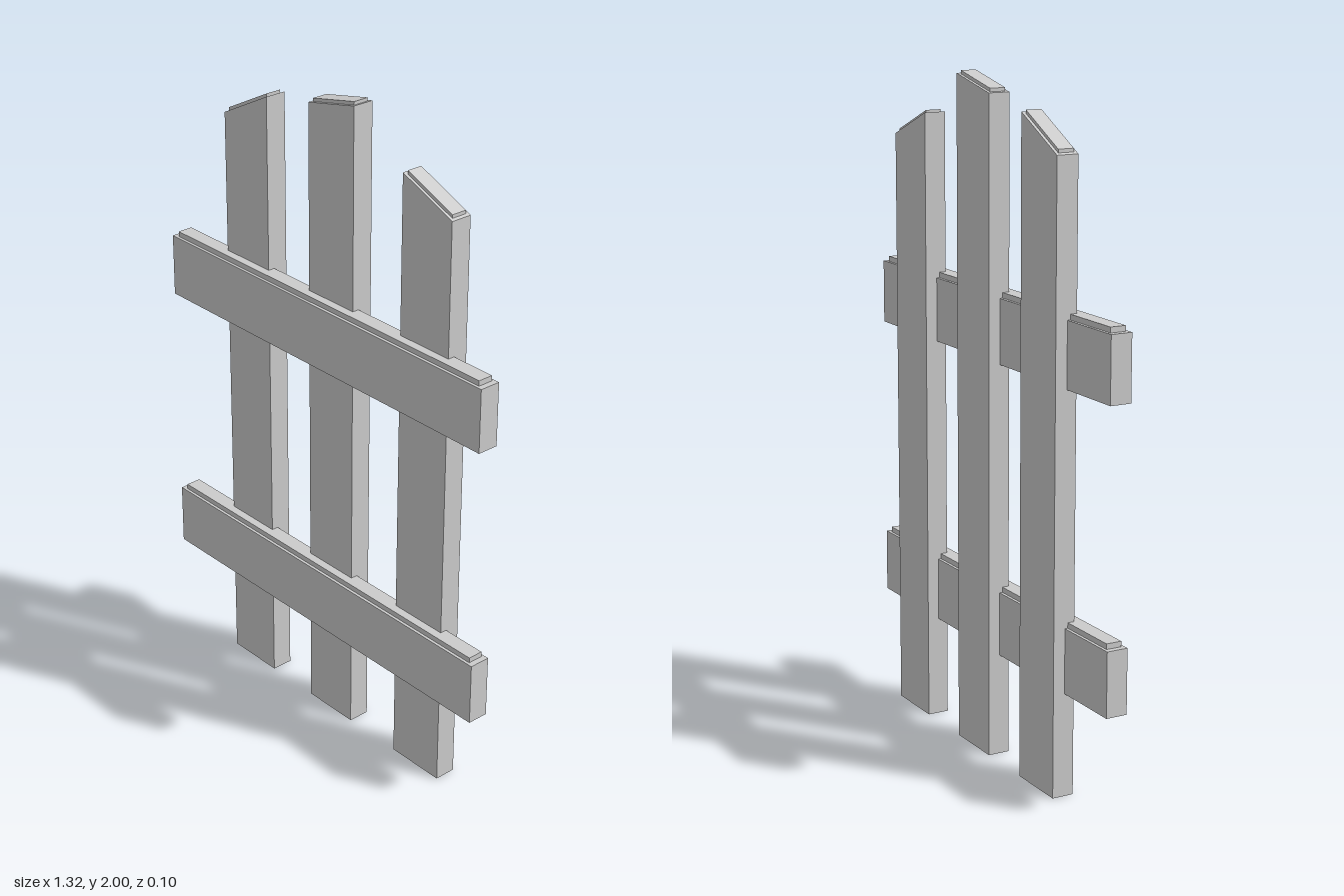
import * as THREE from 'three';

// Upright prism with vertical ends and a top edge sloping from yl to yr
function slab(name, x0, x1, yb0, yb1, yl, yr, z0, z1) {
  const shape = new THREE.Shape([
    new THREE.Vector2(x0, yb0), new THREE.Vector2(x1, yb1),
    new THREE.Vector2(x1, yr), new THREE.Vector2(x0, yl),
  ]);
  const geo = new THREE.ExtrudeGeometry(shape, { depth: z1 - z0, bevelEnabled: false });
  geo.translate(0, 0, z0);
  const mesh = new THREE.Mesh(geo, new THREE.MeshStandardMaterial({ color: 0xcccccc, flatShading: true }));
  mesh.name = name;
  return mesh;
}

// Board with a thin inset step along its top
function board(name, { x0, x1, bottom, yl, yr, z0, z1, inset, insetZ, step }) {
  const group = new THREE.Group();
  group.name = name;
  const slope = (yr - yl) / (x1 - x0);
  const a = yl + slope * inset, b = yr - slope * inset;
  group.add(
    slab(name + 'Body', x0, x1, bottom, bottom, yl, yr, z0, z1),
    slab(name + 'TopStep', x0 + inset, x1 - inset, a - 0.005, b - 0.005, a + step, b + step, z0 + insetZ, z1 - insetZ),
  );
  return group;
}

export function createModel() {
  const model = new THREE.Group();
  model.name = 'fence';

  // Three pickets with differently angled tops
  const pickets = [
    ['rightPicket', -0.443, -0.254, 1.818, 1.916],
    ['middlePicket', -0.074, 0.113, 1.951, 1.992],
    ['leftPicket', 0.308, 0.498, 1.863, 1.785],
  ];
  for (const [name, x0, x1, yl, yr] of pickets) {
    model.add(board(name, { x0, x1, bottom: 0, yl, yr, z0: -0.052, z1: 0.014, inset: 0.009, insetZ: 0.009, step: 0.01 }));
  }

  // Two horizontal rails across the front
  for (const [name, bottom] of [['lowerRail', 0.307], ['upperRail', 1.18]]) {
    const top = bottom + 0.192;
    model.add(board(name, { x0: -0.664, x1: 0.66, bottom, yl: top, yr: top, z0: -0.016, z1: 0.049, inset: 0.018, insetZ: 0.009, step: 0.016 }));
  }
  return model;
}
